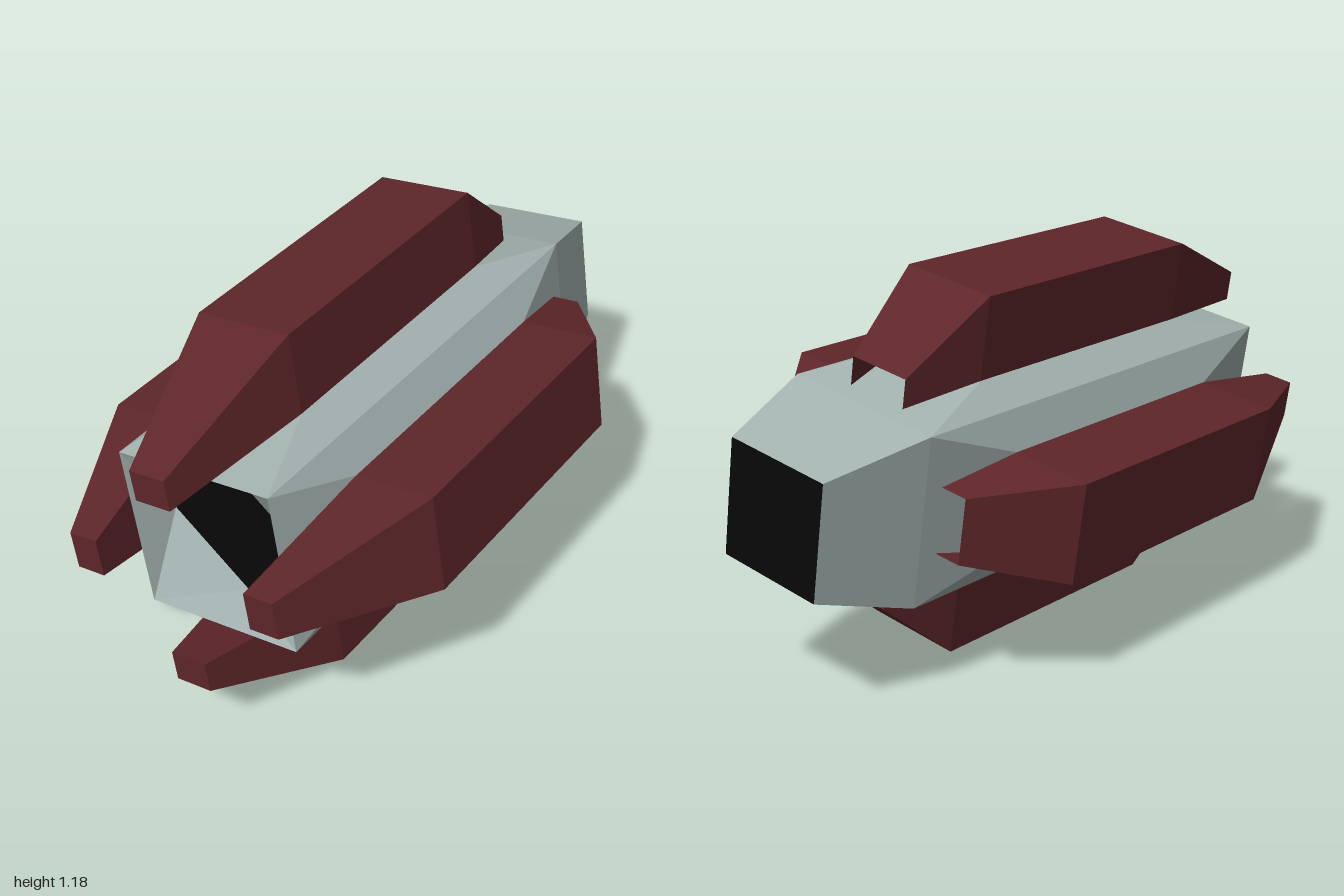
import * as THREE from 'three';

const material = (color) => new THREE.MeshStandardMaterial({ color, flatShading: true, side: THREE.DoubleSide });

// Builds a flat-faced mesh from convex polygons (corner lists, counter-clockwise from outside)
function facetMesh(name, polygons, mat) {
  const pos = [];
  for (const p of polygons) {
    for (let i = 1; i < p.length - 1; i++) pos.push(...p[0], ...p[i], ...p[i + 1]);
  }
  const geo = new THREE.BufferGeometry();
  geo.setAttribute('position', new THREE.Float32BufferAttribute(pos, 3));
  geo.computeVertexNormals();
  const mesh = new THREE.Mesh(geo, mat);
  mesh.name = name;
  return mesh;
}

// One quarter of the hull: raised side panel, rear taper and nose funnel
function hullQuarter() {
  const s = 0.264, w = 0.157, h = 0.318, t = 0.18, r = 0.226;
  const [A, B, C, D] = [[-s, s, 0.84], [s, s, 0.84], [s, s, -0.69], [-s, s, -0.69]];
  const [a, b, c, d] = [[-w, h, 0.53], [w, h, 0.53], [w, h, -0.38], [-w, h, -0.38]];
  const P = [0, r, 0.71], Q = [r, 0, 0.71];
  return [
    [A, B, b, a], [B, C, c, b], [C, D, d, c], [D, A, a, d], [a, b, c, d],
    [D, C, [t, t, -1], [-t, t, -1]],
    [A, P, B], [B, P, Q],
  ];
}

// Pod: rectangular sections from the closed tip to the open tail
function podFaces() {
  const rings = [
    [0.06, 0.265, 0.362, 1],
    [0.157, 0.318, 0.572, 0.53],
    [0.157, 0.318, 0.572, -0.38],
    [0.102, 0.265, 0.362, -0.635],
  ].map(([w, lo, hi, z]) => [[-w, lo, z], [w, lo, z], [w, hi, z], [-w, hi, z]]);
  const faces = [rings[0]];
  for (let i = 0; i < 3; i++) {
    for (let j = i === 0 ? 0 : 1; j < 4; j++) {
      const k = (j + 1) % 4;
      faces.push([rings[i][j], rings[i + 1][j], rings[i + 1][k], rings[i][k]]);
    }
  }
  return faces;
}

export function createModel() {
  const model = new THREE.Group();
  model.name = 'podCraft';
  const hullMat = material(0xa3b2b0), podMat = material(0x5e262a), darkMat = material(0x080808);

  // Four hull quarters, each carrying a pod
  const quarter = hullQuarter(), pod = podFaces();
  for (let i = 0; i < 4; i++) {
    const side = new THREE.Group();
    side.name = 'side' + (i + 1);
    side.add(facetMesh('hullPanel', quarter, hullMat), facetMesh('pod', pod, podMat));
    side.rotation.z = (i * Math.PI) / 2;
    model.add(side);
  }

  // Dark openings in the nose and tail
  const r = 0.226, t = 0.18;
  model.add(
    facetMesh('noseOpening', [[[r, 0, 0.71], [0, r, 0.71], [-r, 0, 0.71], [0, -r, 0.71]]], darkMat),
    facetMesh('tailOpening', [[[-t, -t, -1], [-t, t, -1], [t, t, -1], [t, -t, -1]]], darkMat),
  );

  // The whole craft is rolled slightly about its long axis
  model.rotation.z = THREE.MathUtils.degToRad(8.4);
  model.position.y = 0.59;
  const root = new THREE.Group();
  root.name = 'model';
  root.add(model);
  return root;
}
